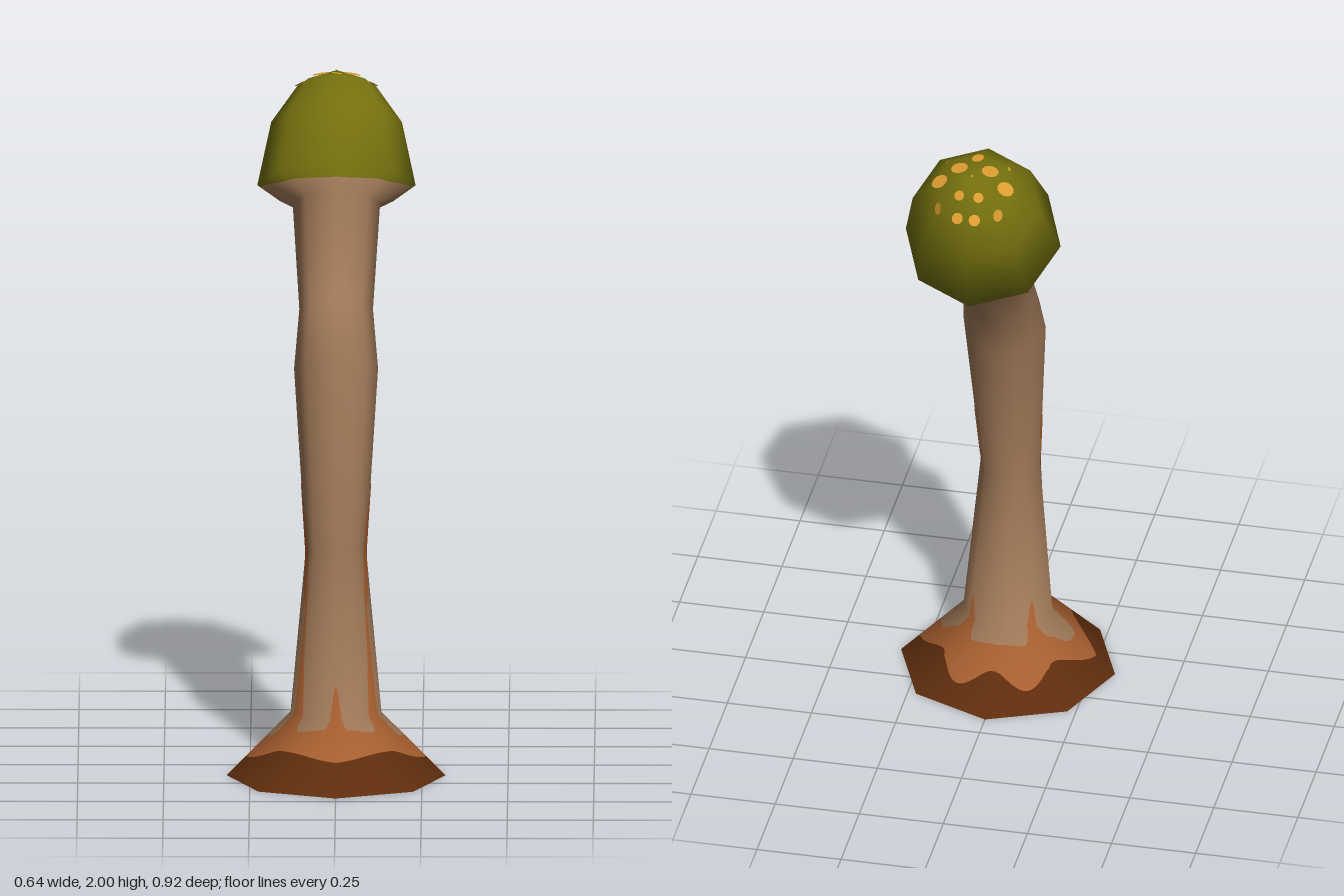
import * as THREE from 'three';

const SIDES = 8, STEPS = 128;

// Skin rings from foot to crown: [y, z, radius, tilt]
const RINGS = [
  [0, 0.14, 0.318, 0],
  [0.19, 0.142, 0.132, 0.04],
  [0.675, 0.175, 0.088, 0.17],
  [1.2, 0.095, 0.122, 0.41],
  [1.36, 0.022, 0.107, 0.48],
  [1.635, -0.153, 0.127, 0.53],
  [1.68, -0.2, 0.23, 0.51],
  [1.848, -0.292, 0.19, 0.51],
  [1.942, -0.347, 0.115, 0.51],
  [1.985, -0.372, 0.0001, 0.51],
];
const TOP = RINGS.length - 1;

// Coarse eight-sided skin, source of positions and smooth normals
function coarseSkin() {
  const pos = [], index = [];
  RINGS.forEach(([y, z, r, tilt], k) => {
    for (let i = 0; i < SIDES; i++) {
      const t = (i / SIDES) * Math.PI * 2, f = r * Math.cos(t);
      pos.push(r * Math.sin(t), y + f * Math.sin(tilt), z + f * Math.cos(tilt));
      if (k < TOP) {
        const a = k * SIDES + i, b = k * SIDES + (i + 1) % SIDES;
        index.push(a, b, b + SIDES, a, b + SIDES, a + SIDES);
      }
    }
  });
  const g = new THREE.BufferGeometry();
  g.setAttribute('position', new THREE.Float32BufferAttribute(pos, 3));
  g.setIndex(index);
  g.computeVertexNormals();
  const tilt = RINGS[TOP][3];
  for (let i = 0; i < SIDES; i++) g.attributes.normal.setXYZ(TOP * SIDES + i, 0, Math.cos(tilt), -Math.sin(tilt));
  return g;
}

// Bilinear sample of an attribute at angle u (in sides) and height v (in rings)
function sample(attr, u, v) {
  const i = Math.floor(u), k = Math.min(Math.floor(v), TOP - 1);
  const at = (r, s) => new THREE.Vector3().fromBufferAttribute(attr, r * SIDES + (s + SIDES) % SIDES);
  const low = at(k, i).lerp(at(k, i + 1), u - i);
  const high = at(k + 1, i).lerp(at(k + 1, i + 1), u - i);
  return low.lerp(high, v - k);
}

// Patch of skin between two height functions of u, lifted along the normal
function patch(skin, low, high, u0 = 0, u1 = SIDES, steps = STEPS, lift = 0) {
  const pos = [], nor = [], index = [];
  for (let k = 0; k < TOP; k++) {
    const clamp = v => THREE.MathUtils.clamp(v, k, k + 0.99999);
    const start = pos.length / 3;
    const span = [];
    for (let s = 0; s <= steps; s++) {
      const u = u0 + (u1 - u0) * s / steps, a = clamp(low(u)), b = clamp(high(u));
      span.push(b - a);
      for (const v of [a, b]) {
        const n = sample(skin.attributes.normal, u, v).normalize();
        const p = sample(skin.attributes.position, u, v).addScaledVector(n, lift);
        pos.push(p.x, p.y, p.z);
        nor.push(n.x, n.y, n.z);
      }
    }
    for (let s = 0; s < steps; s++) {
      if (span[s] + span[s + 1] < 1e-4) continue;
      const a = start + s * 2;
      index.push(a, a + 2, a + 3, a, a + 3, a + 1);
    }
  }
  const g = new THREE.BufferGeometry();
  g.setAttribute('position', new THREE.Float32BufferAttribute(pos, 3));
  g.setAttribute('normal', new THREE.Float32BufferAttribute(nor, 3));
  g.setIndex(index);
  return g;
}

// Mirrored wavy edge through [degrees from the front, height] keys
function edge(keys) {
  return u => {
    let d = u * 360 / SIDES;
    if (d > 180) d = 360 - d;
    const j = Math.max(1, keys.findIndex(k => k[0] >= d));
    const [a, va] = keys[j - 1], [b, vb] = keys[j];
    return va + (vb - va) * THREE.MathUtils.smoothstep(d, a, b);
  };
}

function material(name, color) {
  const m = new THREE.MeshStandardMaterial({ color, side: THREE.DoubleSide });
  m.name = name;
  return m;
}

export function createModel() {
  const group = new THREE.Group();
  group.name = 'mushroom';
  const mats = {
    soil: material('dark brown', 0x5e2d0d),
    rust: material('rust orange', 0xa85f30),
    stem: material('tan', 0xa07958),
    cap: material('olive green', 0x74700e),
    spot: material('amber', 0xdc9c30),
  };
  const add = (name, geometry, mat) => {
    const mesh = new THREE.Mesh(geometry, mat);
    mesh.name = name;
    group.add(mesh);
    return mesh;
  };
  const skin = coarseSkin();
  const level = v => () => v;

  // Colour borders around the skin
  const soilTop = edge([[0, 0.45], [45, 0.54], [90, 0.3], [130, 0.55], [155, 0.28], [180, 0.55]]);
  const rustTop = edge([[0, 1.2], [14, 0.85], [42, 0.8], [56, 1.3], [66, 1.85], [74, 1.2],
    [80, 0.65], [100, 0.62], [118, 0.8], [135, 1.18], [150, 0.8], [180, 0.85]]);
  const capEdge = edge([[0, 5.5], [45, 5.6], [90, 5.9], [180, 5.87]]);

  add('footRim', patch(skin, level(0), soilTop), mats.soil);
  add('footBand', patch(skin, soilTop, rustTop), mats.rust);
  add('stem', patch(skin, rustTop, level(5)), mats.stem);
  add('capUnderside', patch(skin, level(5), capEdge), mats.stem);
  add('cap', patch(skin, capEdge, level(TOP)), mats.cap);

  // Thin leaning streaks on both flanks of the stem
  for (const side of [-1, 1]) {
    const c = side > 0 ? 1.8 : SIDES - 1.8, half = 0.36;
    const t = u => side * (u - c) / half;
    const mid = u => 2.02 + 0.3 * t(u);
    const width = u => 0.2 * Math.sqrt(Math.max(0, 1 - t(u) ** 2));
    add('stemStreak', patch(skin, u => mid(u) - width(u), u => mid(u) + width(u),
      c - half, c + half, 20, 0.002), mats.rust);
  }

  // Cap spots: [x, z, radius], dropped onto the crown and mirrored
  const target = new THREE.Mesh(skin, mats.cap);
  const spots = [[0, -0.27, 0.018], [0, -0.355, 0.004], [0.09, -0.27, 0.007], [0.045, -0.315, 0.025],
    [0.097, -0.347, 0.025], [0.028, -0.397, 0.015], [0.087, -0.411, 0.018], [0.025, -0.438, 0.017]];
  const ray = new THREE.Raycaster();
  for (const [x, z, r] of spots) {
    for (const side of x ? [-1, 1] : [1]) {
      ray.set(new THREE.Vector3(x * side, 3, z), new THREE.Vector3(0, -1, 0));
      const hit = ray.intersectObject(target)[0];
      if (!hit) continue;
      const n = hit.face.normal;
      const spot = add('capSpot', new THREE.CircleGeometry(r, 12), mats.spot);
      spot.position.copy(hit.point).addScaledVector(n, 0.003);
      spot.quaternion.setFromUnitVectors(new THREE.Vector3(0, 0, 1), n);
    }
  }
  return group;
}
